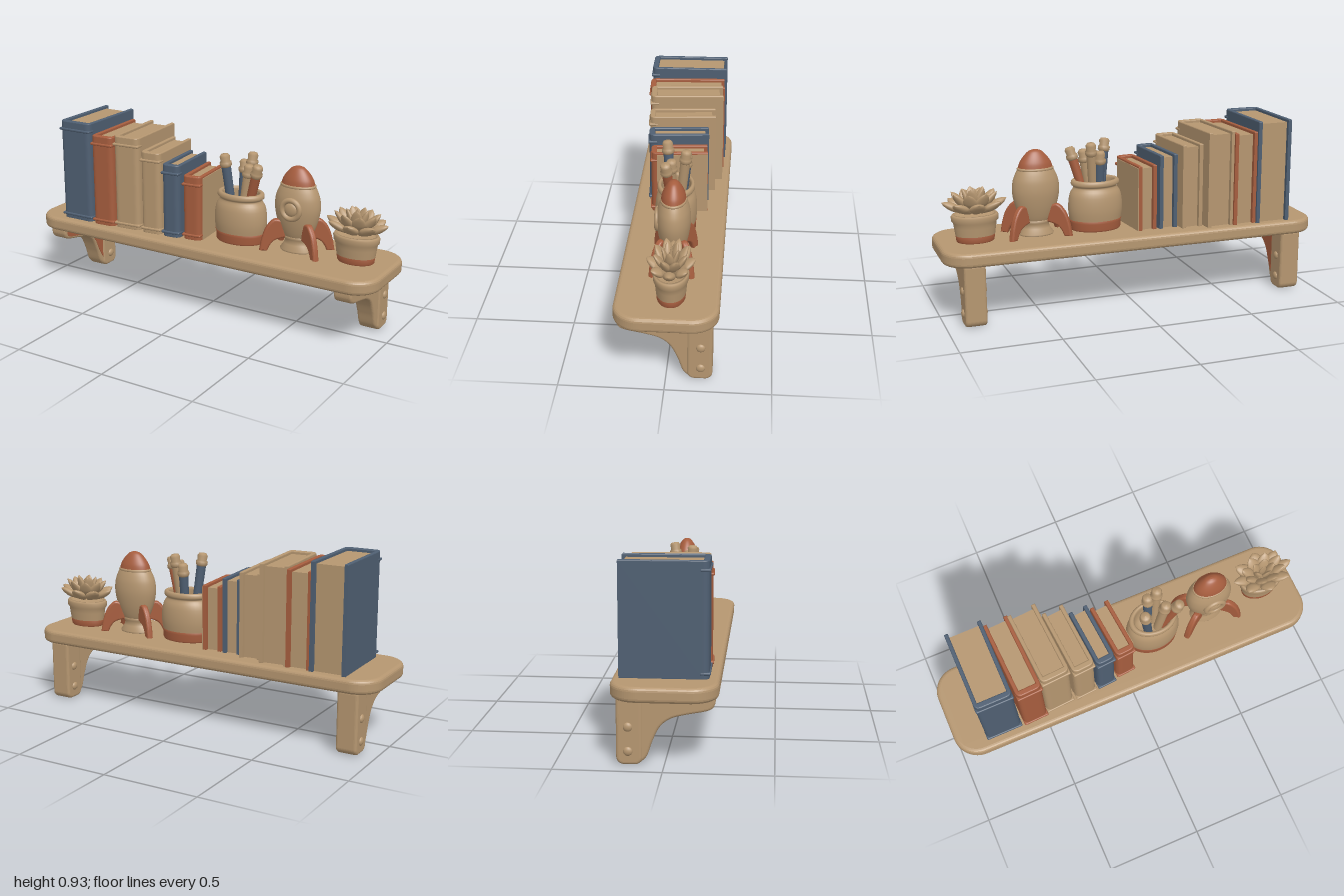
import * as THREE from 'three';
import { RoundedBoxGeometry } from 'three/addons/geometries/RoundedBoxGeometry.js';

const tan = new THREE.MeshStandardMaterial({ color: 0xb59670 });
const blue = new THREE.MeshStandardMaterial({ color: 0x4f5f72 });
const rust = new THREE.MeshStandardMaterial({ color: 0xa65d3e });

function add(parent, name, geometry, material, x = 0, y = 0, z = 0) {
  const mesh = new THREE.Mesh(geometry, material);
  mesh.name = name;
  mesh.position.set(x, y, z);
  parent.add(mesh);
  return mesh;
}

function group(parent, name, x = 0, y = 0, z = 0) {
  const g = new THREE.Group();
  g.name = name;
  g.position.set(x, y, z);
  parent.add(g);
  return g;
}

const vecs = (pts) => pts.map(([a, b]) => new THREE.Vector2(a, b));

const lathe = (pts, smooth = true, seg = 40) => {
  const p = vecs(pts);
  return new THREE.LatheGeometry(smooth ? new THREE.SplineCurve(p).getPoints(30).map((v) => v.setX(Math.max(0, v.x))) : p, seg);
};

function roundedRect(x0, y0, x1, y1, r) {
  const s = new THREE.Shape();
  s.absarc(x1 - r, y0 + r, r, -Math.PI / 2, 0);
  s.absarc(x1 - r, y1 - r, r, 0, Math.PI / 2);
  s.absarc(x0 + r, y1 - r, r, Math.PI / 2, Math.PI);
  s.absarc(x0 + r, y0 + r, r, Math.PI, Math.PI * 1.5);
  return s;
}

// Extrusion whose bevel stays inside the requested depth, starting at 0
function extrude(shape, depth, bevel) {
  const g = new THREE.ExtrudeGeometry(shape, {
    depth: depth - 2 * bevel, bevelThickness: bevel, bevelSize: bevel,
    bevelOffset: -bevel, bevelSegments: 4, curveSegments: 10,
  });
  return g.translate(0, 0, bevel);
}
const upright = (g) => g.rotateX(-Math.PI / 2); // depth becomes +y, shape y becomes -z
const sideways = (g, d) => g.translate(0, 0, -d / 2).rotateY(-Math.PI / 2); // shape x becomes z

function addBracket(root, name, x, paintedSide) {
  const b = group(root, name, x);
  add(b, 'bracketPost', sideways(extrude(roundedRect(-0.22, 0, -0.1, 0.34, 0.035), 0.11, 0.014), 0.11), tan);
  const s = new THREE.Shape();
  s.moveTo(0.23, 0.33);
  s.splineThru(vecs([[0.228, 0.29], [0.2, 0.262], [0.1, 0.24], [0.03, 0.22], [-0.02, 0.18], [-0.055, 0.11], [-0.08, 0.04], [-0.11, 0.008]]));
  s.lineTo(-0.18, 0.01);
  s.lineTo(-0.18, 0.33);
  add(b, 'bracketArm', sideways(extrude(s, 0.095, 0.012), 0.095), tan);
  if (paintedSide) {
    const plate = new THREE.Shape();
    plate.moveTo(0.21, 0.318);
    plate.splineThru(vecs([[0.2, 0.278], [0.1, 0.255], [0.025, 0.235], [-0.03, 0.19], [-0.07, 0.11], [-0.1, 0.06]]));
    plate.lineTo(-0.1, 0.318);
    add(b, 'bracketPaintedSide', sideways(extrude(plate, 0.006, 0.001), 0.006), rust, paintedSide * 0.047);
  }
  for (const side of [-1, 1]) for (const y of [0.065, 0.18]) {
    const screw = add(b, 'screwHead', new THREE.SphereGeometry(0.022, 16, 10), tan, side * 0.053, y, -0.165);
    screw.scale.x = 0.6;
  }
}

// Book standing with its spine to the front: wrapped cover, page block, spine bands
function addBook(root, [x0, x1, top, zf, zb, mat, turn]) {
  const w = x1 - x0, h = top - 0.385, d = zf - zb, t = 0.02, r = 0.032;
  const b = group(root, 'book', (x0 + x1) / 2, 0.385, (zf + zb) / 2);
  b.rotation.y = turn;
  const s = new THREE.Shape();
  s.moveTo(-w / 2, d / 2);
  s.lineTo(-w / 2, -d / 2 + r);
  s.quadraticCurveTo(-w / 2, -d / 2, -w / 2 + r, -d / 2);
  s.lineTo(w / 2 - r, -d / 2);
  s.quadraticCurveTo(w / 2, -d / 2, w / 2, -d / 2 + r);
  s.lineTo(w / 2, d / 2);
  s.lineTo(w / 2 - t, d / 2);
  s.lineTo(w / 2 - t, -d / 2 + t + 0.01);
  s.lineTo(-w / 2 + t, -d / 2 + t + 0.01);
  s.lineTo(-w / 2 + t, d / 2);
  add(b, 'bookCover', upright(extrude(s, h, 0.006)), mat);
  add(b, 'bookPages', new THREE.BoxGeometry(w - 2 * t + 0.004, h - 0.02, d - 0.03), tan, 0, h / 2 - 0.006, 0.004);
  for (const y of [0.028, h - 0.045]) {
    add(b, 'spineBand', new RoundedBoxGeometry(w + 0.004, 0.014, 0.05, 3, 0.006), mat, 0, y, d / 2 - 0.019);
  }
  return { b, w, h, d };
}

function addPencil(parent, mat, from, to) {
  const a = new THREE.Vector3(...from), e = new THREE.Vector3(...to);
  const len = a.distanceTo(e);
  const p = group(parent, 'pencil', ...from);
  p.quaternion.setFromUnitVectors(new THREE.Vector3(0, 1, 0), e.clone().sub(a).normalize());
  add(p, 'pencilShaft', new THREE.CylinderGeometry(0.025, 0.022, len - 0.05, 16), mat, 0, (len - 0.05) / 2);
  add(p, 'pencilTip', lathe([[0, -0.07], [0.024, -0.07], [0.031, -0.06], [0.031, -0.045], [0.024, -0.038], [0.027, -0.015], [0.02, -0.003], [0, 0]], false, 16), tan, 0, len);
}

function addPencilPot(root) {
  const p = group(root, 'pencilPot', 0.167, 0.385, 0.004);
  const body = group(p, 'potBody');
  body.scale.z = 0.74;
  add(body, 'potBase', lathe([[0, 0], [0.128, 0], [0.135, 0.012], [0.135, 0.045], [0.139, 0.058], [0.13, 0.06]], false), rust);
  add(body, 'potWall', lathe([[0.136, 0.055], [0.143, 0.1], [0.142, 0.15], [0.133, 0.195], [0.116, 0.222], [0.116, 0.232], [0.127, 0.24],
    [0.127, 0.255], [0.118, 0.265], [0.103, 0.262], [0.1, 0.24], [0.1, 0.2], [0.08, 0.15], [0, 0.14]]), tan);
  addPencil(p, blue, [-0.035, 0.15, 0.025], [-0.07, 0.465, 0.05]);
  addPencil(p, tan, [0.015, 0.15, -0.02], [0.04, 0.465, -0.055]);
  addPencil(p, rust, [0.045, 0.15, 0.015], [0.125, 0.43, 0.045]);
  addPencil(p, blue, [-0.01, 0.15, -0.03], [-0.01, 0.42, -0.055]);
  addPencil(p, tan, [0.02, 0.15, 0.02], [0.06, 0.42, 0.02]);
}

function addRocket(root) {
  const k = group(root, 'rocket', 0.487, 0.385, -0.008);
  const hull = group(k, 'rocketHull');
  hull.scale.z = 0.68;
  add(hull, 'rocketBody', lathe([[0.06, 0.06], [0.085, 0.1], [0.108, 0.16], [0.121, 0.225], [0.118, 0.28], [0.105, 0.32], [0.088, 0.352]]), tan);
  add(hull, 'rocketNozzle', lathe([[0, 0], [0.085, 0], [0.09, 0.012], [0.07, 0.04], [0.064, 0.06], [0.076, 0.07], [0.076, 0.085], [0.06, 0.09]], false), tan);
  add(hull, 'noseCollar', new THREE.TorusGeometry(0.087, 0.008, 10, 40).rotateX(Math.PI / 2), tan, 0, 0.348);
  add(hull, 'noseCone', lathe([[0.089, 0.352], [0.08, 0.38], [0.06, 0.41], [0.035, 0.435], [0.012, 0.444], [0, 0.445]]), rust);
  // Porthole on the front
  const port = group(k, 'porthole', 0, 0.238, 0.077);
  add(port, 'portholeRing', new THREE.TorusGeometry(0.048, 0.014, 12, 32), tan);
  add(port, 'portholeGlass', new THREE.SphereGeometry(0.035, 24, 12).scale(1, 1, 0.4), tan);
  // Four swept fins on the diagonals
  const s = new THREE.Shape();
  s.moveTo(0.07, 0.16);
  s.splineThru(vecs([[0.115, 0.17], [0.155, 0.13], [0.178, 0.07], [0.19, 0.005]]));
  s.lineTo(0.15, 0.003);
  s.splineThru(vecs([[0.135, 0.035], [0.11, 0.06], [0.06, 0.075]]));
  for (const a of [0.56, -0.56, Math.PI - 0.56, Math.PI + 0.56]) {
    add(k, 'rocketFin', extrude(s, 0.032, 0.01).translate(0, 0, -0.016), rust).rotation.y = a;
  }
}

function addSucculent(root) {
  const p = group(root, 'succulent', 0.806, 0.385, -0.02);
  p.scale.z = 0.7;
  add(p, 'planterBase', lathe([[0, 0], [0.088, 0], [0.096, 0.01], [0.1, 0.04], [0.09, 0.042]], false), rust);
  add(p, 'planterWall', lathe([[0.1, 0.038], [0.106, 0.08], [0.11, 0.105], [0.118, 0.112], [0.12, 0.135], [0.114, 0.145], [0.1, 0.145], [0.098, 0.13], [0, 0.125]], false), tan);
  // Rosette: count, length, half width, lean from vertical, turn, base height
  const rings = [[8, 0.145, 0.04, 1.12, 0, 0.15], [8, 0.14, 0.036, 0.75, 0.39, 0.155], [5, 0.125, 0.03, 0.38, 0.2, 0.16], [1, 0.115, 0.02, 0, 0, 0.16]];
  for (const [n, len, w, lean, turn, y] of rings) {
    const leaf = lathe([[0, 0], [w * 0.5, len * 0.12], [w * 0.95, len * 0.45], [w, len * 0.62], [w * 0.6, len * 0.86], [0, len]], true, 14);
    leaf.scale(1, 1, 0.5);
    for (let i = 0; i < n; i++) {
      const a = turn + (i / n) * Math.PI * 2;
      const m = add(p, 'leaf', leaf, tan, Math.sin(a) * 0.03 * lean, y, Math.cos(a) * 0.03 * lean);
      m.rotation.set(lean, a, 0, 'YXZ');
    }
  }
}

export function createModel() {
  const root = new THREE.Group();
  root.name = 'shelfWithOrnaments';
  add(root, 'shelfBoard', upright(extrude(roundedRect(-1, -0.246, 1, 0.248, 0.13), 0.073, 0.02)), tan, 0, 0.316);
  addBracket(root, 'rightBracket', -0.86, 1);
  addBracket(root, 'leftBracket', 0.855, 0);

  // x from, x to, top, front z, back z, cover, turn
  const books = [
    [-0.842, -0.652, 0.932, 0.198, -0.215, blue, 0.01],
    [-0.645, -0.515, 0.878, 0.2, -0.208, rust, 0.05],
    [-0.515, -0.365, 0.89, 0.182, -0.205, tan, 0.07],
    [-0.35, -0.235, 0.828, 0.177, -0.172, tan, 0.08],
    [-0.222, -0.122, 0.778, 0.17, -0.142, blue, 0.08],
    [-0.108, -0.006, 0.73, 0.15, -0.142, rust, 0.09],
  ].map((b) => addBook(root, b));
  // Pale outer board on the last book
  const { b, w, h, d } = books[5];
  add(b, 'bookSideBoard', new THREE.BoxGeometry(0.008, h - 0.012, d - 0.03), tan, w / 2, h / 2 - 0.005, -0.014);

  addPencilPot(root);
  addRocket(root);
  addSucculent(root);
  return root;
}
